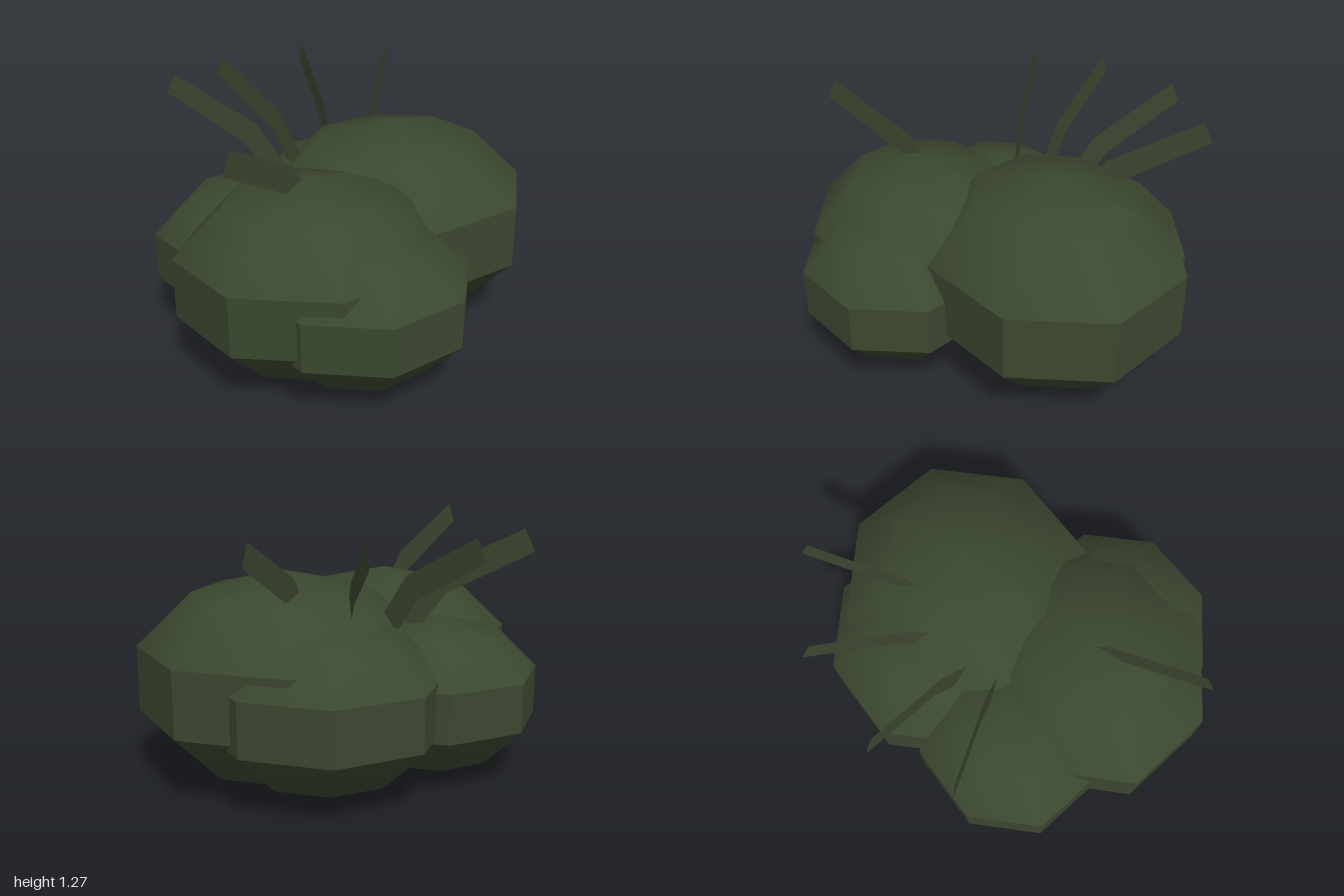
import * as THREE from 'three';
import { toCreasedNormals } from 'three/addons/utils/BufferGeometryUtils.js';

const leafGreen = new THREE.MeshStandardMaterial({ color: 0x3b472f, side: THREE.DoubleSide });
leafGreen.name = 'leafGreen';

// Low-poly foliage clump: squashed eight-sided ball, sharp only around its middle band
function clump(name, [x, y, z], [rx, ry, rz]) {
  const ball = new THREE.SphereGeometry(1, 8, 5).scale(rx, ry, rz);
  const mesh = new THREE.Mesh(toCreasedNormals(ball, THREE.MathUtils.degToRad(39)), leafGreen);
  mesh.position.set(x, y, z);
  mesh.name = name;
  return mesh;
}

// Bent upright strip, drawn as distance from the centre against height
function bladeGeometry() {
  const outline = [[0.2, 0.65], [0.36, 0.65], [0.58, 0.945], [0.995, 1.17], [0.945, 1.27], [0.51, 1.05]];
  return new THREE.ShapeGeometry(new THREE.Shape(outline.map(([r, y]) => new THREE.Vector2(r, y))));
}

export function createModel() {
  const bush = new THREE.Group();
  bush.name = 'bush';

  // Overlapping clumps: name, centre, radii
  [
    ['largeClump', [0.27, 0.522, -0.17], [0.747, 0.522, 0.673]],
    ['frontClump', [-0.28, 0.495, 0.32], [0.689, 0.48, 0.61]],
    ['smallFrontClump', [-0.09, 0.425, 0.52], [0.547, 0.388, 0.505]],
    ['sideClump', [-0.46, 0.425, -0.17], [0.55, 0.388, 0.49]],
    ['backClump', [0.085, 0.455, -0.42], [0.602, 0.42, 0.545]],
  ].forEach((c) => bush.add(clump(...c)));

  // Blades fan out from the middle; angles run from the back towards the right
  const blade = bladeGeometry();
  [-26.7, 2.7, 33.4, 57.8, 133.4].forEach((deg, i) => {
    const mesh = new THREE.Mesh(blade, leafGreen);
    mesh.rotation.y = THREE.MathUtils.degToRad(90 + deg);
    mesh.name = `blade${i + 1}`;
    bush.add(mesh);
  });

  return bush;
}
